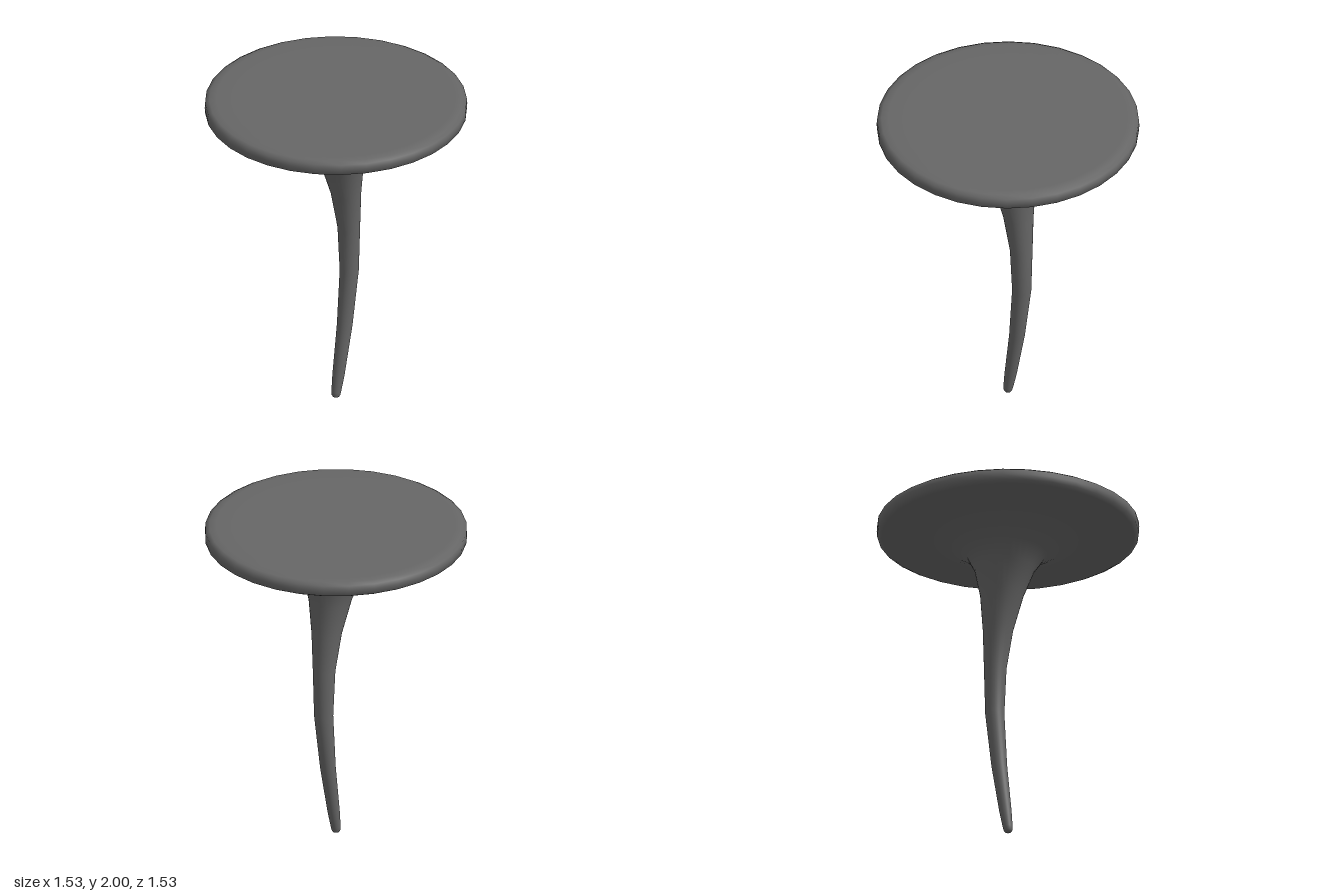
import * as THREE from 'three';
import { mergeVertices } from 'three/addons/utils/BufferGeometryUtils.js';

const SIDES = 32;

// Lathe through [height, radius, centre z] rings; each ring is slid along z to bend the form
function bentLathe(rings) {
  const points = rings.map(([y, r]) => new THREE.Vector2(r, y));
  let geometry = new THREE.LatheGeometry(points, SIDES);
  const position = geometry.attributes.position;
  for (let i = 0; i < position.count; i++) {
    position.setZ(i, position.getZ(i) + (rings[i % rings.length][2] ?? 0));
  }
  // Weld the seam so the shading stays smooth all round
  geometry.deleteAttribute('uv');
  geometry.deleteAttribute('normal');
  geometry = mergeVertices(geometry, 1e-5);
  geometry.computeVertexNormals();
  return geometry;
}

export function createModel() {
  const group = new THREE.Group();
  const material = new THREE.MeshStandardMaterial({ color: 0x666666 });

  const add = (name, rings) => {
    const mesh = new THREE.Mesh(bentLathe(rings), material);
    mesh.name = name;
    group.add(mesh);
  };

  // Curved shank, from the blunt tip to the flare under the head
  add('shank', [
    [0, 0, 0],
    [0, 0.018, 0],
    [0.01, 0.025, 0],
    [0.035, 0.029, -0.003],
    [0.14, 0.036, -0.022],
    [0.45, 0.046, -0.075],
    [0.8, 0.056, -0.114],
    [1.09, 0.066, -0.11],
    [1.33, 0.089, -0.086],
    [1.54, 0.127, -0.053],
    [1.7, 0.177, -0.029],
    [1.79, 0.233, -0.016],
    [1.85, 0.34, -0.012],
    [1.885, 0.43, -0.004],
    [1.9, 0.5, 0],
  ]);

  // Round flat head with a softened rim
  add('head', [
    [1.9, 0.5],
    [1.9, 0.7],
    [1.903, 0.74],
    [1.917, 0.765],
    [1.95, 0.767],
    [1.98, 0.765],
    [1.995, 0.74],
    [2, 0.7],
    [2, 0.6],
    [2, 0],
  ]);

  return group;
}
